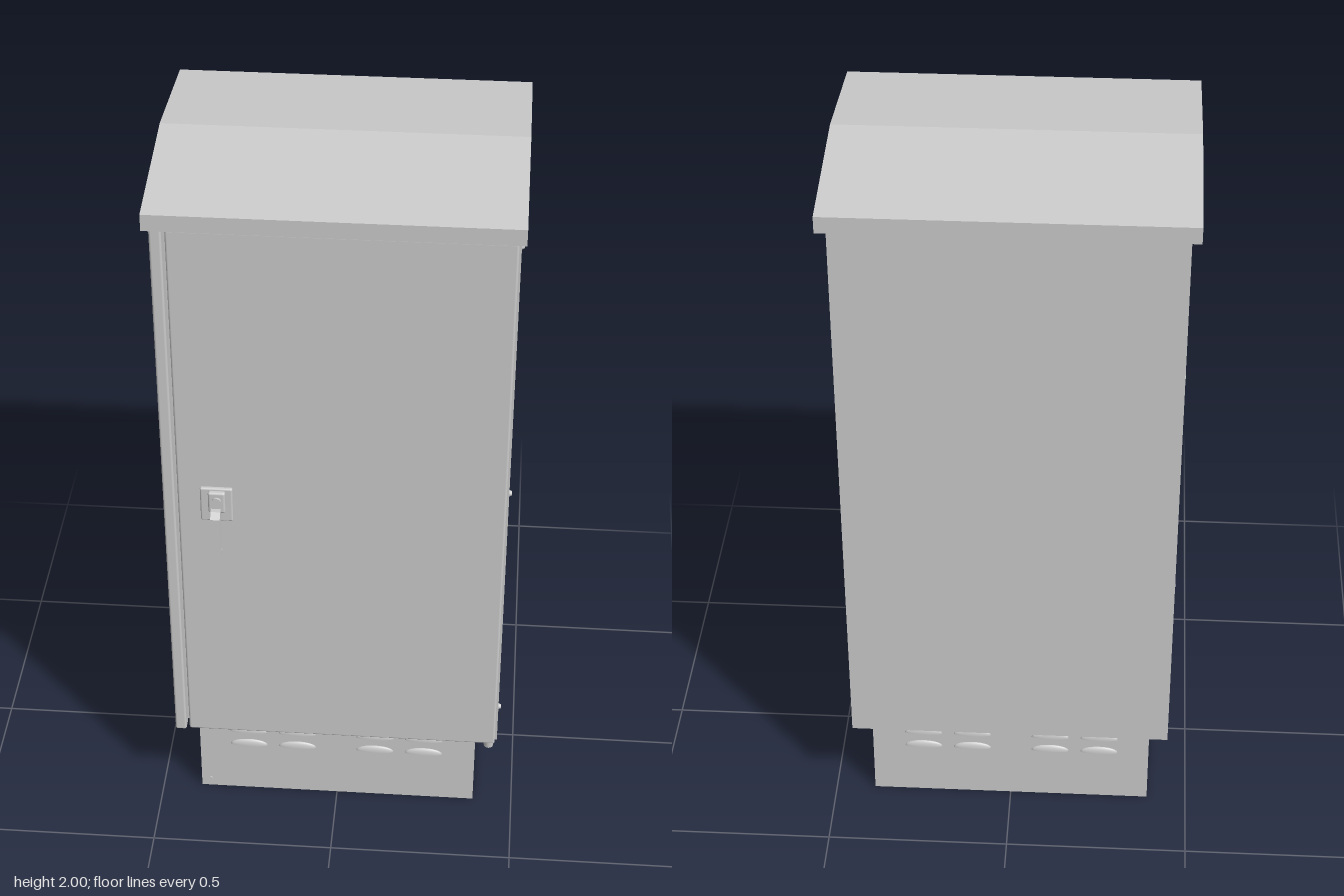
import * as THREE from 'three';
import { RoundedBoxGeometry } from 'three/addons/geometries/RoundedBoxGeometry.js';

const metal = new THREE.MeshStandardMaterial({ color: 0xcccccc });
const thin = new THREE.MeshStandardMaterial({ color: 0xcccccc, side: THREE.DoubleSide });

export function createModel() {
  const root = new THREE.Group();

  const add = (name, geometry, x = 0, y = 0, z = 0, material = metal) => {
    const mesh = new THREE.Mesh(geometry, material);
    mesh.name = name;
    mesh.position.set(x, y, z);
    root.add(mesh);
    return mesh;
  };

  // Box given by its limits on each axis; a radius rounds its edges
  const box = (name, [x0, x1], [y0, y1], [z0, z1], radius = 0) => {
    const size = [x1 - x0, y1 - y0, z1 - z0];
    const geometry = radius ? new RoundedBoxGeometry(...size, 3, radius) : new THREE.BoxGeometry(...size);
    return add(name, geometry, (x0 + x1) / 2, (y0 + y1) / 2, (z0 + z1) / 2);
  };

  // Side profile of [z, y] points extruded across x
  const acrossX = (name, points, width, x = 0) => {
    const shape = new THREE.Shape(points.map(([z, y]) => new THREE.Vector2(z, y)));
    const geometry = new THREE.ExtrudeGeometry(shape, { depth: width, bevelEnabled: false });
    geometry.translate(0, 0, -width / 2).rotateY(-Math.PI / 2);
    return add(name, geometry, x);
  };

  // Plinth, cabinet body and the recessed neck under the roof
  box('plinth', [-0.39, 0.39], [0, 0.276], [-0.29, 0.275]);
  box('body', [-0.44, 0.44], [0.275, 1.9], [-0.345, 0.295]);
  box('neck', [-0.415, 0.415], [1.9, 1.912], [-0.31, 0.3]);

  // Gabled roof with upright eaves
  acrossX('roof', [[-0.385, 1.91], [0.357, 1.91], [0.357, 1.955], [-0.012, 2], [-0.385, 1.955]], 0.926);

  // Door, with the narrow post along its handle edge
  box('door', [-0.41, 0.445], [0.272, 1.9], [0.298, 0.333], 0.006);
  box('doorPost', [-0.45, -0.419], [0.262, 1.9], [0.29, 0.328], 0.006);

  // Side strips with three bolts each
  const boltHead = new THREE.CylinderGeometry(0.006, 0.009, 0.008, 12).rotateZ(-Math.PI / 2);
  for (const s of [-1, 1]) {
    box('sideStrip', [s * 0.445 - 0.006, s * 0.445 + 0.006], [0.26, 1.9], [0.205, 0.3]);
    for (const y of [0.34, 1.09, 1.845]) {
      add('stripBolt', boltHead, s * 0.454, y, 0.25).rotation.y = s < 0 ? Math.PI : 0;
    }
  }

  // Hinge pin at the lower door corner
  add('hingePin', new THREE.CylinderGeometry(0.015, 0.013, 0.025, 20), 0.428, 0.264, 0.314);

  // Louvre hoods on the front and back of the plinth
  const hood = new THREE.SphereGeometry(1, 20, 6, 0, Math.PI * 2, 0, Math.PI / 2).scale(0.053, 0.02, 0.009);
  for (const z of [-0.29, 0.275]) {
    for (const x of [-0.25, -0.112, 0.108, 0.246]) {
      for (const y of [0.168, 0.217]) add('louvre', hood, x, y, z, thin);
    }
  }

  // Small fixings on the plinth front
  const rivet = new THREE.CylinderGeometry(0.006, 0.006, 0.004, 12).rotateX(Math.PI / 2);
  for (const y of [0.028, 0.23]) add('plinthRivet', rivet, -0.365, y, 0.276);

  // Handle: mounting plate, lock housing, lock barrel and swing lever
  box('handlePlate', [-0.35, -0.265], [1.025, 1.13], [0.33, 0.343], 0.005);
  box('lockHousing', [-0.328, -0.283], [1.06, 1.125], [0.34, 0.356], 0.006);
  add('lockBarrel', new THREE.CylinderGeometry(0.012, 0.012, 0.008, 20).rotateX(Math.PI / 2), -0.305, 1.1, 0.358);
  acrossX('handleLever', [
    [0.34, 1.075], [0.37, 1.075], [0.385, 1.06], [0.385, 0.94], [0.345, 0.925],
    [0.343, 0.934], [0.373, 0.947], [0.366, 1.035], [0.34, 1.045],
  ], 0.025, -0.307);

  return root;
}
